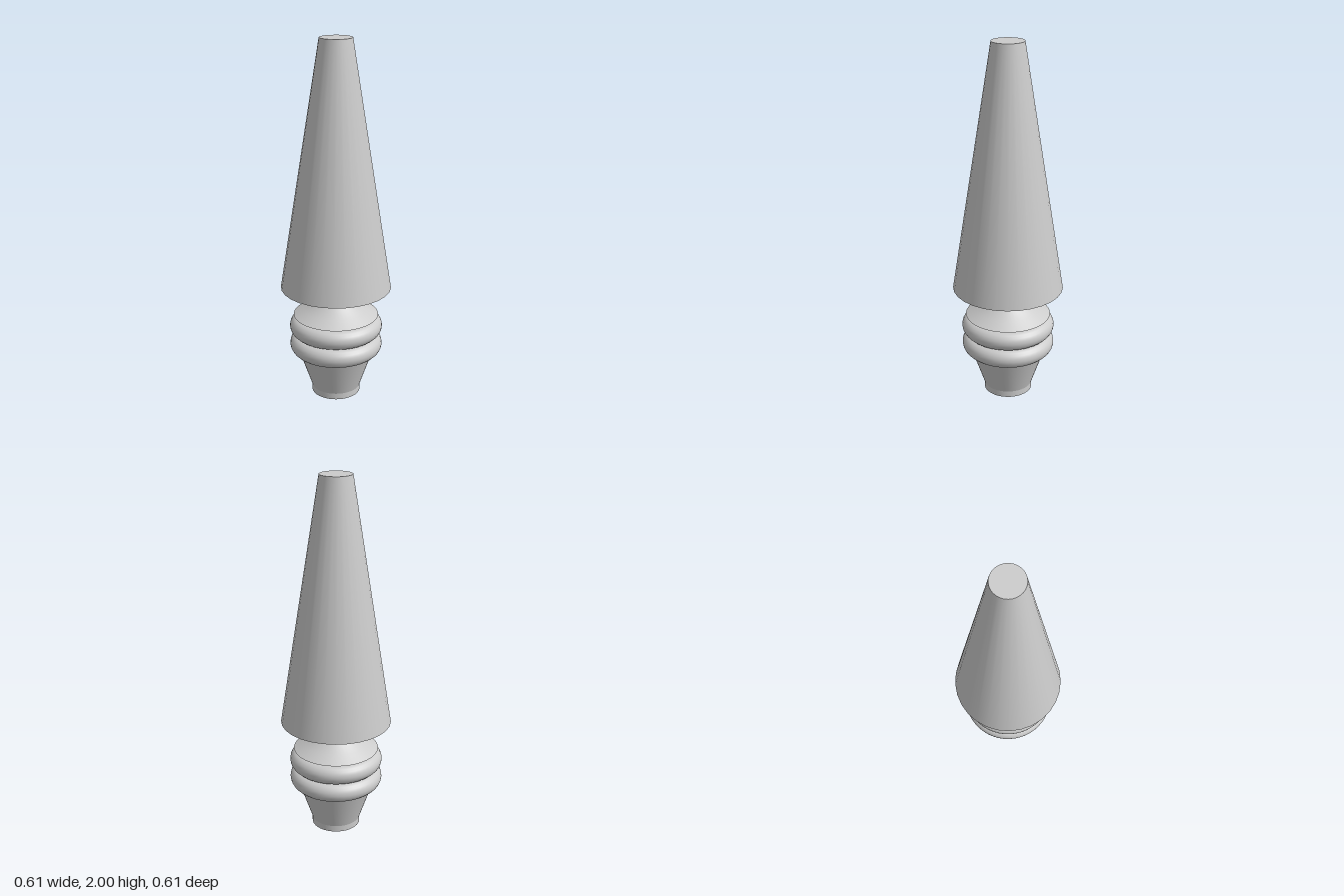
import * as THREE from 'three';

const SIDES = 29;

export function createModel() {
  const model = new THREE.Group();
  const solid = new THREE.MeshStandardMaterial({ color: 0xcccccc });
  const open = new THREE.MeshStandardMaterial({ color: 0xcccccc, side: THREE.DoubleSide });

  const add = (name, geometry, y = 0, material = solid) => {
    const mesh = new THREE.Mesh(geometry, material);
    mesh.name = name;
    mesh.position.y = y;
    model.add(mesh);
    return mesh;
  };
  // Surface of revolution from [radius, height] pairs, lowest first
  const turned = (points) =>
    new THREE.LatheGeometry(points.map(([r, y]) => new THREE.Vector2(r, y)), 48);

  // Hollow base: straight foot ring, flared cup and the wall behind the rings
  add('foot', turned([[0.135, 0], [0.135, 0.035]]), 0, open);
  add('cup', turned([[0.135, 0.035], [0.205, 0.24]]), 0, open);
  add('neck', turned([[0.205, 0.24], [0.205, 0.47]]), 0, open);

  // Two rounded rings stacked on the cup
  for (const [name, y] of [['lowerRing', 0.295], ['upperRing', 0.404]]) {
    const ring = new THREE.TorusGeometry(0.204, 0.054, 20, 48);
    ring.rotateX(Math.PI / 2);
    add(name, ring, y);
  }

  // Sloping lid with a thin overhanging rim and a flat top
  add('lidUnderside', turned([[0.2, 0.468], [0.236, 0.47]]), 0, open);
  add('lid', turned([[0.236, 0.47], [0.178, 0.503], [0.125, 0.537], [0.085, 0.57], [0.058, 0.592]]), 0, open);
  add('lidTop', turned([[0.058, 0.592], [0.04, 0.597], [0, 0.597]]), 0, open);

  // Short stem carrying the shade
  add('stem', new THREE.CylinderGeometry(0.024, 0.024, 0.05, 16), 0.615);

  // Tall closed shade, with one corner on +x
  add('shade', new THREE.CylinderGeometry(0.088, 0.305, 1.365, SIDES, 1, false, Math.PI / 2), 1.3175);

  return model;
}
